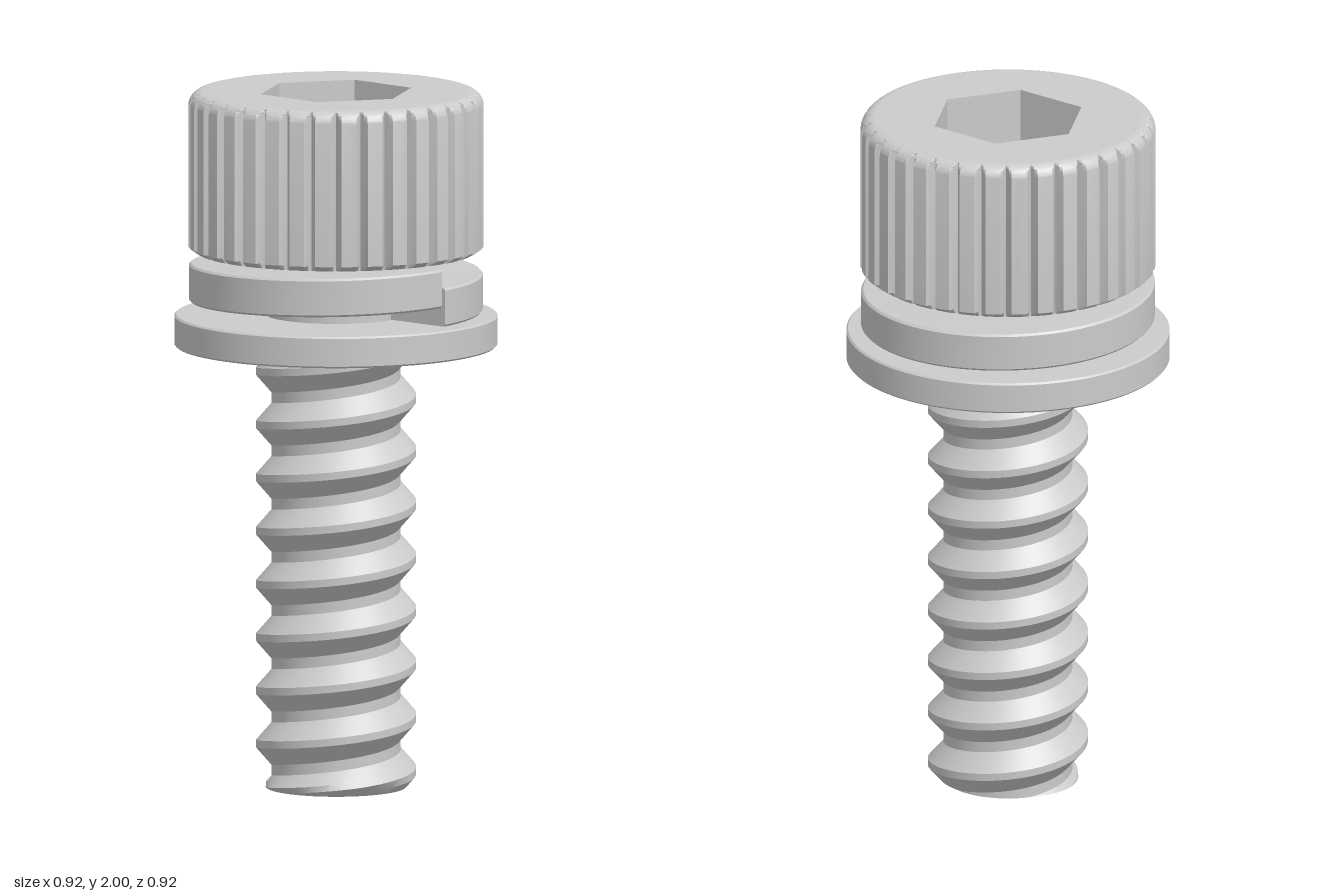
import * as THREE from 'three';
import { toCreasedNormals } from 'three/addons/utils/BufferGeometryUtils.js';

const TAU = Math.PI * 2;
const { clamp } = THREE.MathUtils;
const grey = new THREE.MeshStandardMaterial({ color: 0xcccccc });

function mesh(name, geometry) {
  const m = new THREE.Mesh(geometry, grey);
  m.name = name;
  return m;
}

// Surface on a rows x cols grid; at(i, j) gives [radius, height, angle], angle 0 = front.
function polarGrid(rows, cols, at, crease = 0.5) {
  const positions = [];
  const point = (i, j) => {
    const [r, y, a] = at(i, j);
    return new THREE.Vector3(r * Math.sin(a), y, r * Math.cos(a));
  };
  const triangle = new THREE.Triangle();
  const add = (a, b, c) => {
    if (triangle.set(a, b, c).getArea() < 1e-9) return;
    for (const p of [a, b, c]) positions.push(p.x, p.y, p.z);
  };
  for (let i = 0; i < rows; i++) {
    for (let j = 0; j < cols; j++) {
      const a = point(i, j), b = point(i, j + 1), c = point(i + 1, j + 1), d = point(i + 1, j);
      add(a, b, c);
      add(a, c, d);
    }
  }
  const geometry = new THREE.BufferGeometry();
  geometry.setAttribute('position', new THREE.Float32BufferAttribute(positions, 3));
  return toCreasedNormals(geometry, crease);
}

function lathe(points, segments = 96) {
  const profile = points.map(([x, y]) => new THREE.Vector2(x, y));
  return toCreasedNormals(new THREE.LatheGeometry(profile, segments), 0.5);
}

// Head: rounded top edge, 35 V-shaped grip grooves
function headShell() {
  const R = 0.42, fillet = 0.04, teeth = 35, depth = 0.027;
  const profile = [[0, 1.54], [0.2, 1.54], [0.398, 1.54], [R, 1.555]];
  for (let k = 0; k <= 10; k++) {
    const a = (k / 10) * Math.PI / 2;
    profile.push([R - fillet + fillet * Math.cos(a), 2 - fillet + fillet * Math.sin(a)]);
  }
  const half = 0.038, step = TAU / teeth;
  const offsets = [-half, -half / 2, 0, half / 2, half, step / 2];
  return polarGrid(profile.length - 1, teeth * offsets.length, (i, j) => {
    const offset = offsets[j % offsets.length];
    const angle = Math.PI + Math.floor(j / offsets.length) * step + offset;
    const groove = R - depth * Math.max(0, 1 - Math.abs(offset) / half);
    return [Math.min(profile[i][0], groove), profile[i][1], angle];
  }, 0.3);
}

// Top of the head with the hexagonal socket walls
function socketBlock() {
  const shape = new THREE.Shape().absarc(0, 0, 0.381, 0, TAU);
  const corners = [];
  for (let k = 0; k < 6; k++) {
    const a = Math.PI / 2 - (k * TAU) / 6;
    corners.push(new THREE.Vector2(0.223 * Math.cos(a), 0.223 * Math.sin(a)));
  }
  shape.holes.push(new THREE.Path(corners));
  const geometry = new THREE.ExtrudeGeometry(shape, { depth: 0.25, bevelEnabled: false, curveSegments: 48 });
  return geometry.rotateX(-Math.PI / 2).translate(0, 1.75, 0);
}

// Right-handed thread, trimmed flat at both ends and chamfered at the tip
function thread() {
  const pitch = 0.153, top = 1.25, crest = 0.228, root = 0.184, crestY = 1.1, cols = 72;
  const phases = [-0.5, -0.4, -0.29, -0.18, -0.07, 0.07, 0.18, 0.29, 0.4];
  const rows = phases.length * 12;
  const radius = (y, angle) => {
    const turn = (y - crestY) / pitch - angle / TAU;
    const away = Math.abs(turn - Math.round(turn));
    const r = crest + (root - crest) * clamp((away - 0.07) / 0.33, 0, 1);
    return Math.min(r, 0.2 + y);
  };
  return polarGrid(rows + 1, cols, (i, j) => {
    const angle = (j / cols) * TAU;
    if (i === 0) return [0, 0, angle];
    if (i === rows + 1) return [0, top, angle];
    const turn = Math.floor((i - 1) / phases.length) - 9 + phases[(i - 1) % phases.length];
    const y = clamp(crestY + pitch * (turn + angle / TAU), 0, top);
    return [radius(y, angle), y, angle];
  }, 0.45);
}

// Split ring that climbs once around the neck, closed at both ends
function springWasher() {
  const cols = 96, inner = 0.21, outer = 0.418, bevel = 0.006;
  const section = [
    [outer, bevel], [outer, 0.11 - bevel], [outer - bevel, 0.11], [inner, 0.11],
    [inner, 0], [outer - bevel, 0], [outer, bevel],
  ];
  return polarGrid(section.length - 1, cols + 2, (i, j) => {
    const t = clamp((j - 1) / cols, 0, 1);
    const angle = 0.03 + t * (TAU - 0.03);
    const end = j === 0 || j === cols + 2;
    const [r, y] = end ? [(inner + outer) / 2, 0.055] : section[i];
    return [r, 1.363 + 0.055 * t + y, angle];
  });
}

export function createModel() {
  const group = new THREE.Group();
  group.name = 'socketHeadScrew';

  const head = new THREE.Group();
  head.name = 'head';
  head.add(
    mesh('knurledHead', headShell()),
    mesh('hexSocket', socketBlock()),
    mesh('socketFloor', lathe([[0.26, 1.75], [0.193, 1.75], [0, 1.64]].reverse())),
  );

  // Smooth neck between head and thread
  const neck = mesh('neck', new THREE.CylinderGeometry(0.2, 0.2, 0.31, 72));
  neck.position.y = 1.395;

  group.add(
    head,
    neck,
    mesh('springWasher', springWasher()),
    mesh('flatWasher', lathe([
      [0.202, 1.27], [0.455, 1.27], [0.46, 1.275], [0.46, 1.355], [0.455, 1.36], [0.202, 1.36], [0.202, 1.27],
    ])),
    mesh('threadedShank', thread()),
  );
  return group;
}
